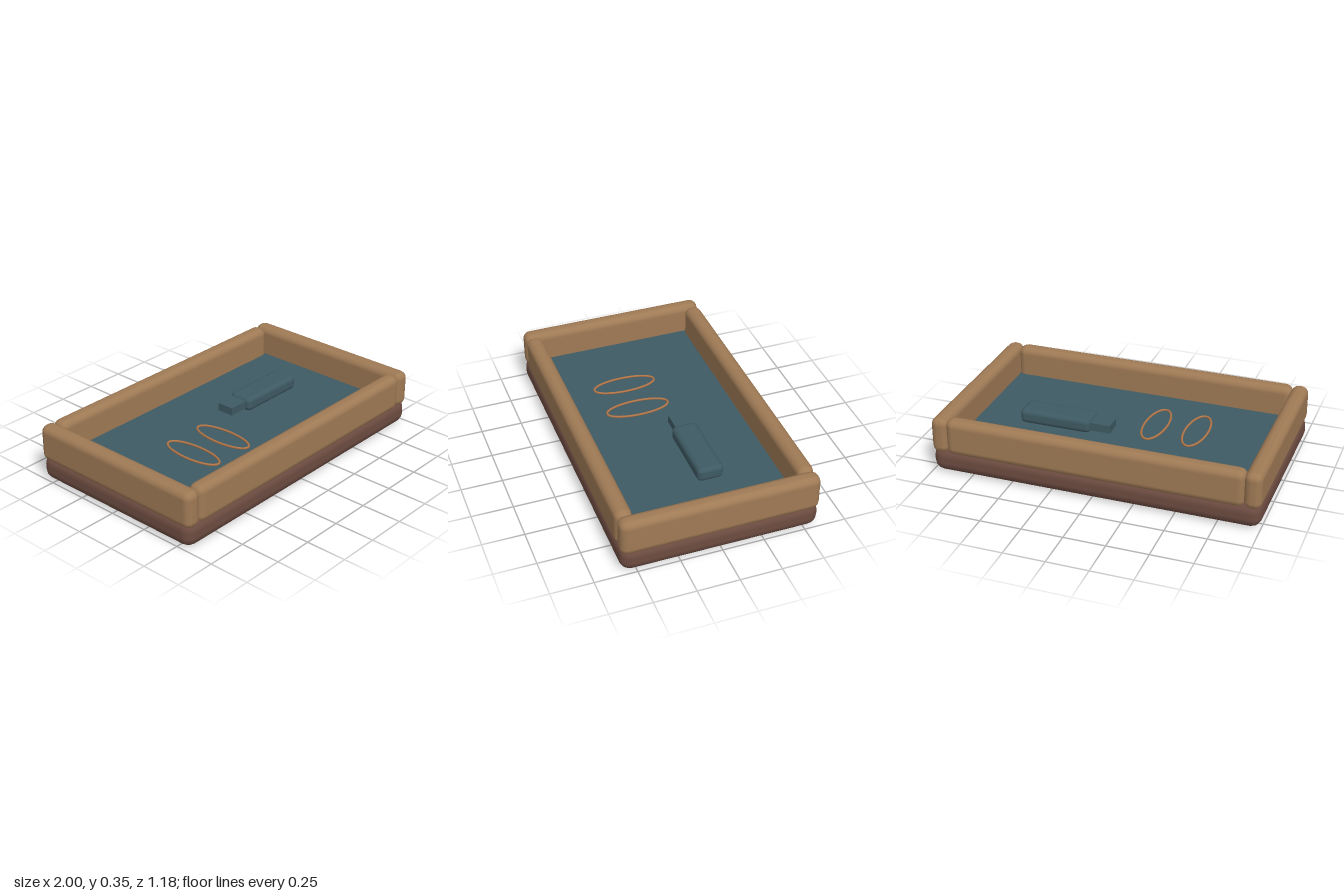
import * as THREE from 'three';
import { RoundedBoxGeometry } from 'three/addons/geometries/RoundedBoxGeometry.js';

const material = (name, color) => {
  const m = new THREE.MeshStandardMaterial({ color });
  m.name = name;
  return m;
};

export function createModel() {
  const group = new THREE.Group();
  const darkWood = material('dark wood', 0x6d4c41);
  const lightWood = material('light wood', 0x9f7a55);
  const teal = material('slate teal', 0x3e5a63);
  const copper = material('copper', 0xb07548);

  const add = (name, geometry, mat, x, y, z) => {
    const mesh = new THREE.Mesh(geometry, mat);
    mesh.name = name;
    mesh.position.set(x, y, z);
    group.add(mesh);
    return mesh;
  };
  const rounded = (w, h, d, r) => new RoundedBoxGeometry(w, h, d, 2, r);

  // Tray base and its lining
  add('base', rounded(2, 0.16, 1.18, 0.065), darkWood, 0, 0.08, 0);
  add('lining', new THREE.BoxGeometry(1.82, 0.016, 1.02), teal, 0, 0.158, 0);

  // Rails, sunk slightly into the base
  for (const s of [-1, 1]) {
    const side = s > 0 ? 'left' : 'right';
    const end = s > 0 ? 'front' : 'back';
    add(`${side}Rail`, rounded(0.105, 0.227, 1.18, 0.045), lightWood, s * 0.9475, 0.2365, 0);
    add(`${end}Rail`, rounded(1.81, 0.227, 0.105, 0.045), lightWood, 0, 0.2365, s * 0.5375);
  }

  // Two flat oval rings
  const points = [];
  for (let i = 0; i < 32; i++) {
    const a = (i / 32) * Math.PI * 2;
    points.push(new THREE.Vector3(0.07 * Math.cos(a), 0, 0.195 * Math.sin(a)));
  }
  const oval = new THREE.CatmullRomCurve3(points, true);
  const ringGeometry = new THREE.TubeGeometry(oval, 64, 0.007, 8, true);
  add('outerRing', ringGeometry, copper, -0.43, 0.182, 0.09);
  add('innerRing', ringGeometry, copper, -0.175, 0.182, 0.09);

  // Small stick with a narrow plug at one end
  add('stickBody', rounded(0.45, 0.09, 0.16, 0.03), teal, 0.39, 0.22, -0.08);
  add('stickPlug', new THREE.BoxGeometry(0.14, 0.05, 0.11), teal, 0.11, 0.22, -0.085);

  return group;
}
